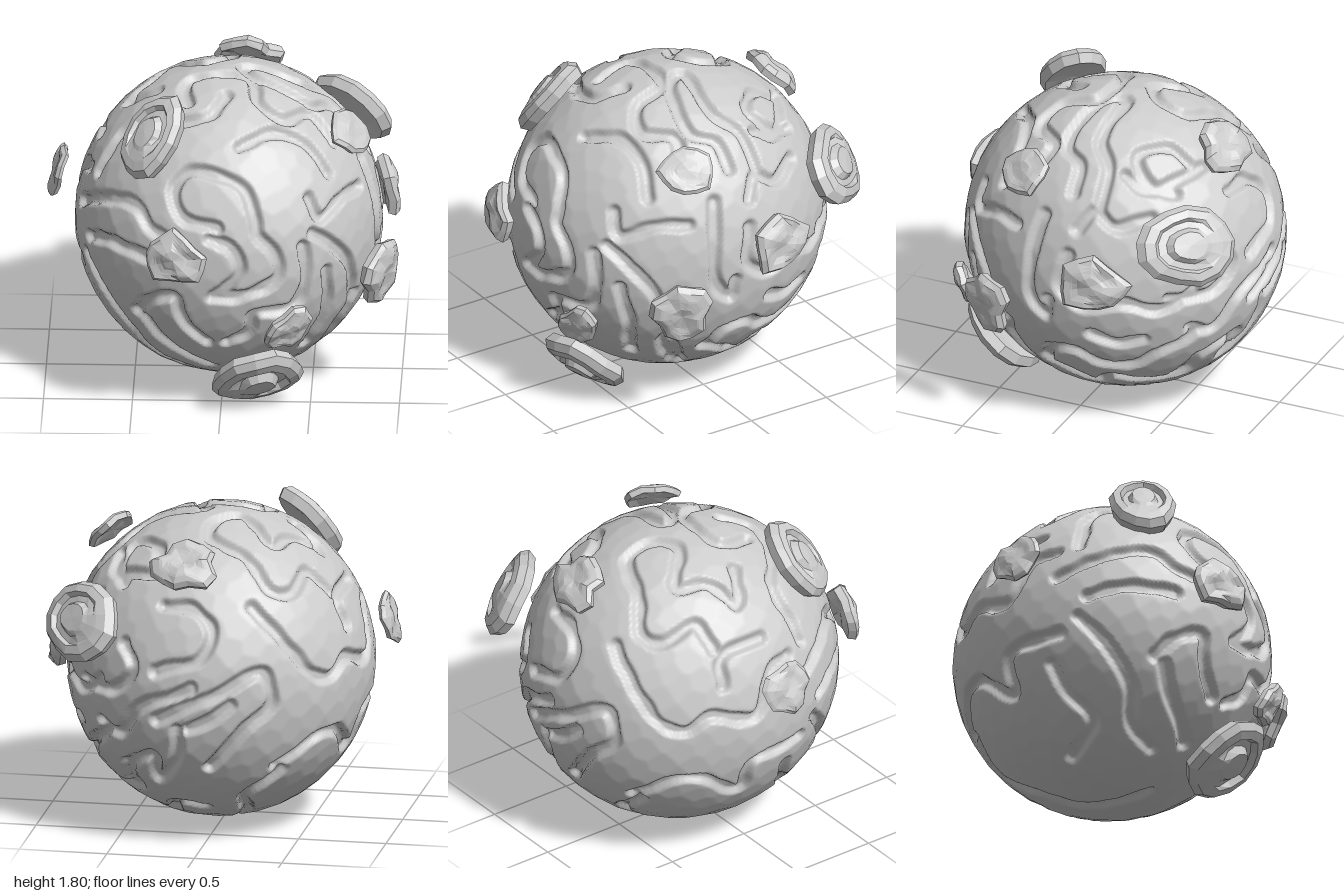
import * as THREE from 'three';
import { mergeVertices } from 'three/addons/utils/BufferGeometryUtils.js';

const V = (x, y, z) => new THREE.Vector3(x, y, z);
const CENTRE = V(0.025, 0.96, -0.06);
const RADII = V(0.866, 0.887, 0.913);
const grey = (opts = {}) => new THREE.MeshStandardMaterial({ color: 0xcccccc, ...opts });

// Groove paths, drawn flat on one side and projected onto the unit ball
const FRONT = [ // x, y
  [-.06, 1.17, .07, 1.11, .11, .99, .03, .87, -.05, .82, .22, .86, .33, .94, .31, 1.07, .21, 1.19,
    .2, 1.27, .13, 1.43, -.02, 1.5, -.18, 1.5, -.27, 1.4, -.22, 1.28, -.02, 1.23],
  [-.47, .64, -.42, .73, -.26, .8, -.22, .68, -.18, .6, -.08, .5],
  [-.77, .86, -.66, .68, -.5, .47, -.39, .31, -.2, .22],
  [-.42, .6, -.33, .47, -.2, .36, -.06, .27],
  [-.76, .62, -.68, .48, -.52, .32, -.42, .2],
  [-.8, 1.12, -.7, 1.22, -.48, 1.28, -.4, 1.18, -.28, 1.14],
  [-.75, .98, -.65, 1.03, -.42, 1.02],
  [.5, 1.34, .56, 1.22, .68, 1.28, .77, 1.28],
  [.52, 1.15, .62, 1.06, .72, .9, .73, .68, .66, .47, .52, .27],
  [.47, 1.08, .48, .85, .4, .72, .2, .7, .16, .58, .04, .5],
  [.6, .9, .59, .65, .47, .4],
  [.1, 1.62, .3, 1.66, .47, 1.58, .6, 1.42],
];
const RIGHT = [ // z, y
  [.1, 1.38, .15, 1.1, .14, .9, .05, .8, .03, .9],
  [-.12, 1.35, -.2, 1.45, -.32, 1.38, -.5, 1.42],
  [-.3, 1.62, -.45, 1.55, -.65, 1.6],
  [-.22, .72, -.35, .67, -.5, .7],
  [.12, .42, .05, .55, -.1, .57, -.25, .48, -.42, .5, -.55, .58, -.73, .7],
  [.12, .42, 0, .37, -.15, .28, -.25, .36, -.4, .32, -.6, .35, -.7, .5],
  [.33, .65, .36, .5, .28, .35, .1, .2, -.1, .17, -.3, .19],
  [-.08, 1.2, -.06, 1, -.2, .9, -.4, .95, -.6, .9, -.75, 1],
];
const TOP = [ // x, z
  [-.65, -.32, -.52, -.36, -.48, -.55, -.38, -.62, -.2, -.52, .03, -.42, 0, -.25, -.13, -.18,
    -.33, -.35, -.4, -.18, -.55, -.08, -.38, .03],
  [.3, -.58, .3, -.47, .45, -.33, .53, -.45, .48, -.58],
  [.72, -.22, .55, -.2, .45, -.1, .1, -.1, .2, .03, .5, .08, .58, -.03, .7, -.05],
  [-.2, .25, -.2, .05, .15, .05, .2, .25, .35, .32, .48, .18, .62, .25],
  [.02, .22, -.08, .37, -.35, .32, -.5, .2, -.7, .25],
];
const BACK_LEFT = [ // seen at an angle, in radii
  [-.28, .1, -.1, -.2, .05, -.38, .2, -.42, .35, -.32, .62, -.3, .7, 0, .78, .1],
  [.42, -.12, .4, .05, .5, .15, .62, .2],
  [-.85, -.1, -.65, -.12, -.55, .02, -.6, .2, -.72, .28],
  [-.85, -.38, -.55, -.36, -.3, -.32, -.25, -.5, -.42, -.62, -.55, -.75],
  [-.15, -.85, .1, -.75, .3, -.72, .5, -.78, .6, -.6, .85, -.42],
  [-.72, -.5, -.6, -.5, -.5, -.46],
];
const BACK_RIGHT = [ // seen from below at an angle, in radii
  [.05, .28, .2, .22, .4, .38, .7, .42],
  [.05, -.22, .2, -.02, .42, .05, .35, -.15, .55, 0, .62, .2],
  [-.2, -.92, .2, -.82, .45, -.72, .65, -.5, .85, -.4],
  [-.1, .5, .2, .5, .35, .6, .25, .72],
  [-.1, -.45, .1, -.55, .3, -.42, .42, -.5],
];
const h = Math.SQRT1_2, c = Math.cos(Math.PI / 6), s = 0.5 * h;
const SIDES = [ // paths, right, up, toward the viewer, whether in radii
  [FRONT, V(1, 0, 0), V(0, 1, 0), V(0, 0, 1), false],
  [RIGHT, V(0, 0, 1), V(0, 1, 0), V(1, 0, 0), false],
  [TOP, V(1, 0, 0), V(0, 0, 1), V(0, 1, 0), false],
  [BACK_LEFT, V(-h, 0, h), V(s, c, s), V(-c * h, 0.5, -c * h), true],
  [BACK_RIGHT, V(-h, 0, -h), V(s, c, -s), V(c * h, -0.5, -c * h), true],
];

function groovePoints() {
  const out = [];
  for (const [paths, right, up, toward, inRadii] of SIDES) {
    const o = inRadii ? [0, 0] : [CENTRE.dot(right), CENTRE.dot(up)];
    const k = inRadii ? [1, 1] : [RADII.dot(right), RADII.dot(up)];
    for (const path of paths) {
      const pts = [];
      for (let i = 0; i < path.length; i += 2) {
        const u = (path[i] - o[0]) / k[0], v = (path[i + 1] - o[1]) / k[1];
        const w = Math.sqrt(Math.max(0, 1 - u * u - v * v));
        pts.push(V(0, 0, 0).addScaledVector(right, u).addScaledVector(up, v)
          .addScaledVector(toward, w).normalize());
      }
      const curve = new THREE.CatmullRomCurve3(pts, false, 'centripetal');
      const n = Math.ceil(curve.getLength() / 0.025);
      for (const p of curve.getSpacedPoints(n)) out.push(p.normalize());
    }
  }
  return out;
}

// Facet directions spread unevenly over the ball
function facetNormals(count) {
  return Array.from({ length: count }, (_, i) => {
    const y = 1 - (2 * i + 1) / count, r = Math.sqrt(1 - y * y), a = i * 2.39996;
    const j = (n) => 0.035 * Math.sin(i * n);
    return V(r * Math.cos(a) + j(12.9), y + j(78.2), r * Math.sin(a) + j(37.7)).normalize();
  });
}

const nearest = (p, list) => {
  let best = -1;
  for (const q of list) best = Math.max(best, p.x * q.x + p.y * q.y + p.z * q.z);
  return Math.min(1, best);
};

// Finely chiselled ball with winding flat-bottomed channels pressed into it
function makeBall() {
  let g = new THREE.IcosahedronGeometry(1, 74);
  g.deleteAttribute('normal');
  g.deleteAttribute('uv');
  g = mergeVertices(g, 1e-5);
  const pos = g.attributes.position, p = V(0, 0, 0);
  const path = groovePoints(), facets = facetNormals(650);
  for (let i = 0; i < pos.count; i++) {
    p.fromBufferAttribute(pos, i).normalize();
    const wobble = 0.008 * Math.sin(p.x * 23 + p.y * 17) * Math.sin(p.z * 21);
    const d = Math.acos(nearest(p, path)) + wobble;
    const depth = 0.042 * (1 - THREE.MathUtils.smoothstep(d, 0.022, 0.054));
    p.multiplyScalar(0.998 / nearest(p, facets) - depth).multiply(RADII).add(CENTRE);
    pos.setXYZ(i, p.x, p.y, p.z);
  }
  g.computeVertexNormals();
  const ball = new THREE.Mesh(g, grey());
  ball.name = 'groovedBall';
  return ball;
}

// Broken crust plate: a chipped, slightly domed disc bent to the ball.
// A channel depth above 0 cuts a horseshoe groove into its top.
function makePlate({ name, at, size: [a, b], along, thick, chip, channel = 0, facing }, seed) {
  const t = thick / 2;
  const profile = [[0, -t], [.55, -t], [.9, -t], [1, t * .2], [.88, t * .9], [.68, t], [.6, t],
    [.44, t], [.34, t * 1.1], [0, t * 1.1]].map(([r, v]) => new THREE.Vector2(r, v));
  let g = new THREE.LatheGeometry(profile, 13);
  g.deleteAttribute('normal');
  g.deleteAttribute('uv');
  g = mergeVertices(g, 1e-4);
  const pos = g.attributes.position;
  for (let i = 0; i < pos.count; i++) {
    const px = pos.getX(i), py = pos.getY(i), pz = pos.getZ(i);
    const ang = Math.atan2(pz, px), r = Math.hypot(px, pz);
    const k = 1 + chip * (Math.sin(ang * 3 + seed) * 0.5 + Math.sin(ang * 5 + seed * 2.3) * 0.5);
    const X = px * a * k, Z = pz * b * k;
    const inGroove = py > 0 && r > 0.42 && r < 0.62;
    const cut = inGroove ? channel * THREE.MathUtils.smoothstep(Math.cos(ang), -0.9, 0) : 0;
    const lump = chip * 0.08 * Math.sin(px * 4 + seed * 3) * Math.cos(pz * 5 + seed);
    pos.setXYZ(i, X, py + lump - cut - (X * X + Z * Z) * 0.5, Z);
  }
  const mesh = new THREE.Mesh(g, grey({ flatShading: true }));
  g.computeVertexNormals();
  mesh.name = name;
  mesh.position.set(...at);
  const normal = (facing ? V(...facing) : mesh.position.clone().sub(CENTRE)).normalize();
  const dir = V(...along);
  dir.addScaledVector(normal, -dir.dot(normal)).normalize();
  mesh.quaternion.setFromRotationMatrix(
    new THREE.Matrix4().makeBasis(dir, normal, dir.clone().cross(normal)));
  return mesh;
}

const PLATES = [
  { name: 'upperFrontPlate', at: [-.4, 1.65, .47], size: [.26, .19], along: [.3, .8, -.3],
    thick: .1, chip: .05, channel: .03, facing: [-.58, .58, .52] },
  { name: 'upperBackPlate', at: [.71, 1.34, -.76], size: [.3, .23], along: [.6, .1, .7],
    thick: .1, chip: .05, channel: .03, facing: [.6, .48, -.66] },
  { name: 'lowerFrontPlate', at: [.21, .23, .62], size: [.28, .25], along: [.6, .5, .4],
    thick: .1, chip: .06, channel: .04 },
  { name: 'sidePlate', at: [-.94, 1.24, -.02], size: [.15, .16], along: [0, 1, 0], thick: .04, chip: .16 },
  { name: 'frontShard', at: [-.25, 1.08, .9], size: [.18, .15], along: [1, -.2, 0], thick: .07, chip: .2 },
  { name: 'topBackShard', at: [.11, 1.68, -.72], size: [.19, .16], along: [1, 0, 0], thick: .07, chip: .22 },
  { name: 'upperSideShard', at: [.92, 1.08, -.26], size: [.2, .16], along: [0, 0, 1], thick: .07, chip: .2 },
  { name: 'lowerSideShard', at: [.9, .81, .4], size: [.19, .17], along: [0, 1, -.2], thick: .07, chip: .2 },
  { name: 'highSideShard', at: [.72, 1.6, .25], size: [.16, .14], along: [0, .3, 1], thick: .05, chip: .12 },
  { name: 'lowFrontShard', at: [.39, .61, .77], size: [.16, .11], along: [.8, .7, 0], thick: .06, chip: .15 },
];

export function createModel() {
  const model = new THREE.Group();
  model.name = 'crackedBall';
  model.add(makeBall());
  PLATES.forEach((plate, i) => model.add(makePlate(plate, i * 1.7 + 0.4)));
  return model;
}
